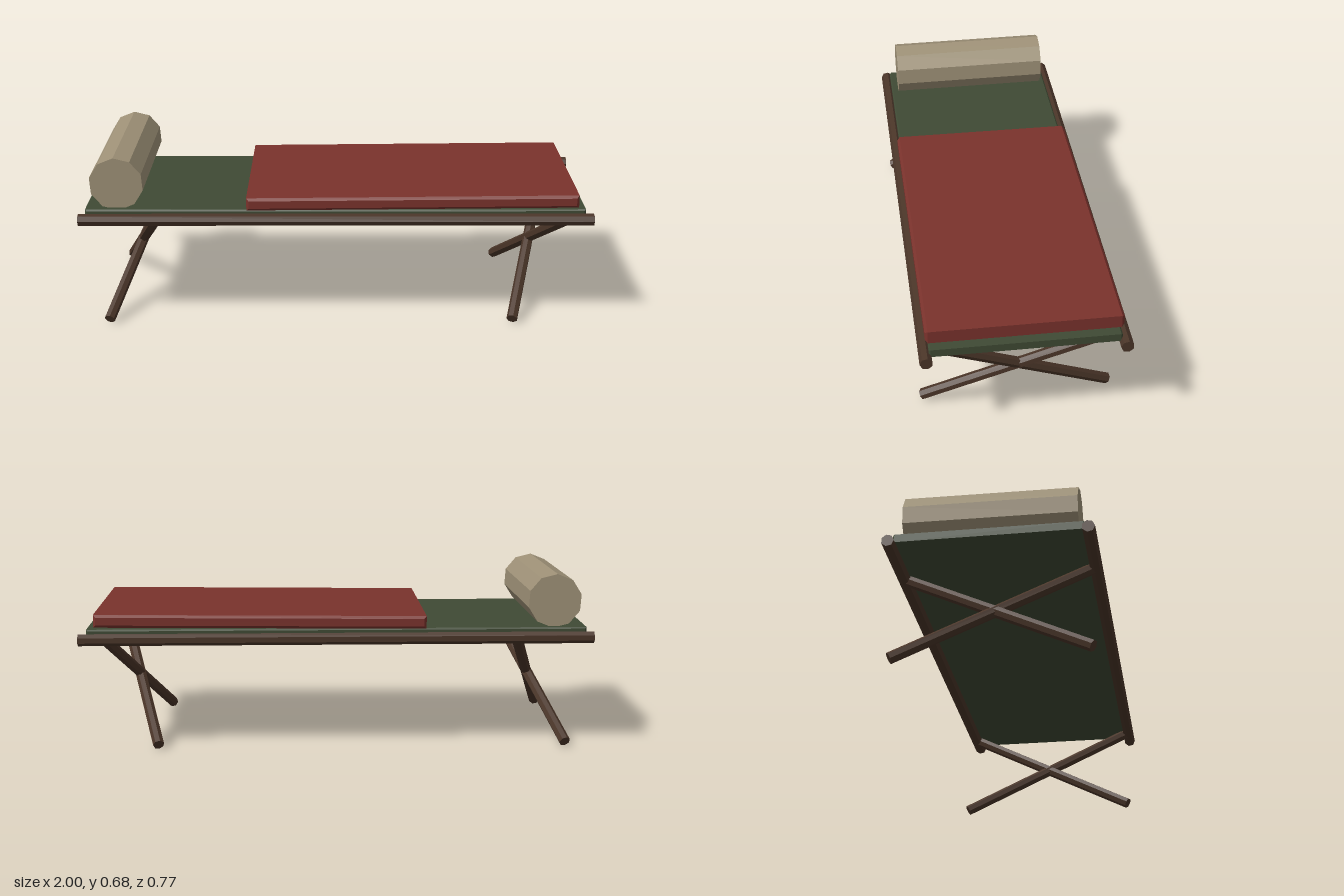
import * as THREE from 'three';

const V = (x, y, z) => new THREE.Vector3(x, y, z);

// Box with a single flat chamfer on every edge
function chamferBox(w, h, d, b) {
  const s = new THREE.Shape();
  const x = w / 2 - b, y = h / 2 - b;
  s.moveTo(-x, -y).lineTo(x, -y).lineTo(x, y).lineTo(-x, y).closePath();
  const geo = new THREE.ExtrudeGeometry(s, {
    depth: d - 2 * b, bevelEnabled: true, bevelSize: b, bevelThickness: b, bevelSegments: 1,
  });
  return geo.translate(0, 0, -(d / 2 - b));
}

export function createModel() {
  const paint = (name, color) => {
    const m = new THREE.MeshStandardMaterial({ color, flatShading: true });
    m.name = name;
    return m;
  };
  const wood = paint('dark wood', 0x4a3528);
  const canvas = paint('olive canvas', 0x3f4a34);
  const wool = paint('red wool', 0x7a322c);
  const linen = paint('tan linen', 0x9e9177);

  const model = new THREE.Group();
  model.name = 'campBed';

  const add = (name, geo, mat, pos) => {
    const mesh = new THREE.Mesh(geo, mat);
    mesh.name = name;
    mesh.position.copy(pos);
    model.add(mesh);
    return mesh;
  };

  // Rough seven-sided pole between two points
  const pole = (name, a, b, r) => {
    const dir = b.clone().sub(a);
    const mesh = add(name, new THREE.CylinderGeometry(r, r, dir.length(), 7), wood,
      a.clone().add(b).multiplyScalar(0.5));
    mesh.quaternion.setFromUnitVectors(V(0, 1, 0), dir.normalize());
  };

  for (const side of [1, -1]) {
    // Long side rails
    pole(side > 0 ? 'frontRail' : 'backRail', V(-1, 0.44, side * 0.36), V(1, 0.44, side * 0.36), 0.024);
    // Crossed legs, both leaning the same way along the bed
    for (const [end, x] of [['right', -0.9], ['left', 0.7]]) {
      pole(end + (side > 0 ? 'FrontLeg' : 'BackLeg'),
        V(x, 0.02, side * 0.36), V(x + 0.2, 0.44, -side * 0.355), 0.022);
    }
  }

  // Stretched sleeping surface
  add('canvasBed', chamferBox(1.945, 0.031, 0.695, 0.006), canvas, V(-0.002, 0.461, 0));

  // Folded blanket, tilted slightly
  const blanket = add('blanket', chamferBox(1.29, 0.05, 0.716, 0.01), wool, V(0.297, 0.505, 0));
  blanket.rotation.z = 0.009;

  // Ten-sided bolster pillow lying across the head end
  const roll = new THREE.CylinderGeometry(0.106, 0.106, 0.64, 10).rotateX(Math.PI / 2);
  roll.rotateZ(THREE.MathUtils.degToRad(4));
  const bolster = add('bolster', roll, linen, V(-0.853, 0.574, 0));
  bolster.rotation.x = 0.007;

  return model;
}
